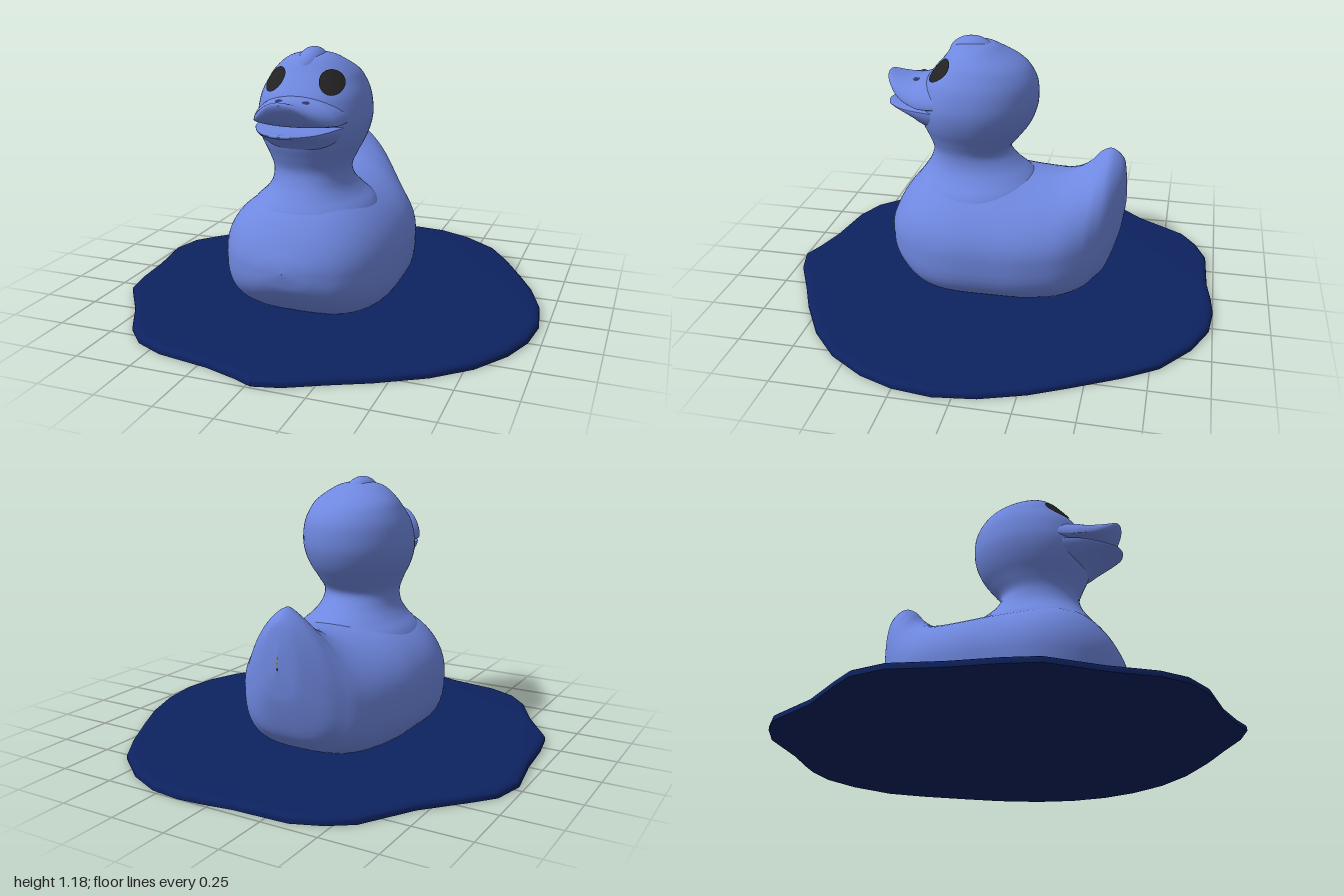
import * as THREE from 'three';
import { toCreasedNormals } from 'three/addons/utils/BufferGeometryUtils.js';

// Catmull-Rom interpolation of every column of a table of sections
function sampleRow(rows, u) {
  const i = Math.min(Math.floor(u), rows.length - 2), f = u - i;
  const at = k => rows[Math.max(0, Math.min(rows.length - 1, k))];
  const [a, b, c, d] = [at(i - 1), at(i), at(i + 1), at(i + 2)];
  return b.map((_, k) => 0.5 * (2 * b[k] + (c[k] - a[k]) * f
    + (2 * a[k] - 5 * b[k] + 4 * c[k] - d[k]) * f * f
    + (3 * b[k] - a[k] - 3 * c[k] + d[k]) * f * f * f));
}

// Skin through rounded sections: [position, half width, high, low, middle, pinch]
function loft(rows, axis, { lowPower = 1, highPower = 1, sides = 56, steps = 5 } = {}) {
  const pos = [], idx = [], count = (rows.length - 1) * steps;
  const pow = (v, p) => Math.sign(v) * Math.abs(v) ** p;
  for (let i = 0; i <= count; i++) {
    const [t, w, hi, lo, mid, pinch = 1] = sampleRow(rows, i / steps);
    for (let j = 0; j < sides; j++) {
      const a = j / sides * Math.PI * 2, c = Math.cos(a), s = Math.sin(a);
      const x = w * pow(c, s > 0 ? pinch * highPower : lowPower);
      const v = mid + (s > 0 ? (hi - mid) * pow(s, highPower) : (mid - lo) * pow(s, lowPower));
      if (axis === 'z') pos.push(x, v, t); else pos.push(x, t, v);
    }
  }
  for (let i = 0; i < count; i++) for (let j = 0; j < sides; j++) {
    const k = (j + 1) % sides, a = i * sides + j, b = i * sides + k;
    idx.push(a, b, a + sides, b, b + sides, a + sides);
  }
  const g = new THREE.BufferGeometry();
  g.setAttribute('position', new THREE.Float32BufferAttribute(pos, 3));
  g.setIndex(idx);
  g.computeVertexNormals();
  return g;
}

export function createModel() {
  const model = new THREE.Group();
  const duck = new THREE.Group();
  duck.name = 'duck';
  duck.position.x = -0.05;
  model.add(duck);

  const material = (name, color) => {
    const m = new THREE.MeshStandardMaterial({ color });
    m.name = name;
    return m;
  };
  const blue = material('duckBlue', 0x6f88e0);
  const navy = material('waterNavy', 0x0d2260);
  const black = material('eyeBlack', 0x222222);
  const add = (parent, name, geometry, mat) => {
    const m = new THREE.Mesh(geometry, mat);
    m.name = name;
    parent.add(m);
    return m;
  };

  // Water: irregular puddle with a rounded upper rim, as x, z pairs
  const shore = [
    .14, -1, .28, -.985, .435, -.915, .595, -.79, .69, -.645, .8, -.44, .875, -.29, .94, -.1,
    .965, .08, .945, .25, .89, .4, .785, .56, .64, .69, .447, .805, .29, .88, .135, .96,
    .02, .99, -.065, .955, -.21, .91, -.445, .87, -.575, .81, -.665, .715, -.765, .53,
    -.9, .335, -.925, .195, -.94, 0, -.975, -.215, -.94, -.36, -.86, -.455, -.71, -.62,
    -.575, -.84, -.475, -.91, -.35, -.96, -.1, -.97, .03, -.99];
  const points = [];
  for (let i = 0; i < shore.length; i += 2) points.push(new THREE.Vector2(shore[i], -shore[i + 1]));
  let puddle = new THREE.ExtrudeGeometry(new THREE.Shape(points.reverse()), {
    depth: 0.015, bevelThickness: 0.018, bevelSize: 0.035, bevelOffset: -0.035, bevelSegments: 4 });
  puddle.rotateX(-Math.PI / 2);
  const p = puddle.attributes.position;
  for (let i = 0; i < p.count; i++) p.setY(i, Math.max(0, p.getY(i)));
  add(model, 'waterPuddle', toCreasedNormals(puddle, 0.6), navy);

  // Body with upturned tail, from back to front
  add(duck, 'bodyAndTail', loft([
    [-.575, .002, .5, .44, .47, 1],
    [-.565, .06, .6, .36, .46, 1],
    [-.55, .105, .655, .28, .43, 1.2],
    [-.5, .19, .695, .14, .36, 1.5],
    [-.45, .245, .675, .085, .32, 1.7],
    [-.4, .29, .62, .045, .3, 1.6],
    [-.3, .35, .56, .015, .28, 1.2],
    [-.15, .39, .545, .006, .27, 1],
    [0, .4, .56, .006, .27, 1],
    [.15, .4, .57, .006, .27, 1],
    [.25, .38, .57, .01, .27, 1],
    [.33, .345, .55, .03, .27, 1],
    [.4, .295, .5, .075, .27, 1],
    [.46, .225, .425, .13, .27, 1],
    [.5, .135, .35, .185, .27, 1],
    [.515, .07, .31, .23, .27, 1],
    [.522, .002, .272, .268, .27, 1],
  ], 'z', { lowPower: 0.65 }), blue);

  // Head and neck, from the crown down: [y, half width, front, back]
  const head = add(duck, 'headAndNeck', loft([
    [1.16, .002, .132, .128],
    [1.145, .085, .205, .045],
    [1.12, .135, .235, -.005],
    [1.08, .182, .265, -.08],
    [1.04, .208, .3, -.125],
    [.98, .235, .345, -.155],
    [.9, .248, .37, -.16],
    [.84, .242, .375, -.148],
    [.78, .222, .365, -.12],
    [.72, .192, .34, -.075],
    [.66, .17, .32, -.035],
    [.6, .178, .335, -.075],
    [.55, .212, .365, -.135],
    [.5, .265, .4, -.18],
    [.42, .31, .44, -.2],
  ].map(([y, w, f, b]) => [y, w, f, b, (f + b) / 2]), 'y', { highPower: 0.9 }), blue);

  // Small tuft on the forehead
  const tuft = add(duck, 'foreheadTuft', new THREE.SphereGeometry(1, 32, 20), blue);
  tuft.scale.set(.068, .08, .105);
  tuft.position.set(0, 1.098, .14);

  // Open bill: upturned upper half and flat lower half
  const upperBill = add(duck, 'upperBill', loft([
    [.2, .215, 1.0, .85, .9],
    [.33, .195, .995, .868, .885],
    [.38, .178, .985, .873, .89],
    [.43, .152, .984, .883, .905],
    [.47, .122, .989, .905, .928],
    [.5, .088, .996, .938, .956],
    [.52, .05, 1.0, .968, .98],
    [.528, .002, .992, .988, .99],
  ], 'z'), blue);
  add(duck, 'lowerBill', loft([
    [.2, .21, .875, .72, .86],
    [.33, .185, .875, .755, .865],
    [.39, .165, .872, .795, .863],
    [.45, .13, .866, .828, .86],
    [.5, .085, .865, .845, .86],
    [.52, .05, .866, .851, .86],
    [.53, .002, .862, .858, .86],
  ], 'z'), blue);

  // Eyes: thin tilted ovals laid on the head
  const ray = new THREE.Raycaster();
  const forward = new THREE.Vector3(0, 0, -1), down = new THREE.Vector3(0, -1, 0);
  const local = new THREE.Mesh(head.geometry, blue), billLocal = new THREE.Mesh(upperBill.geometry, blue);
  for (const side of [-1, 1]) {
    const eye = new THREE.RingGeometry(0.001, 1, 28, 4);
    eye.scale(.04, .056, 1);
    eye.rotateZ(side * 0.75);
    eye.translate(side * .125, 1.045, 0);
    const e = eye.attributes.position;
    for (let i = 0; i < e.count; i++) {
      ray.set(new THREE.Vector3(e.getX(i), e.getY(i), 2), forward);
      const hit = ray.intersectObject(local)[0];
      if (hit) {
        hit.point.addScaledVector(hit.face.normal, 0.006);
        e.setXYZ(i, hit.point.x, hit.point.y, hit.point.z);
      }
    }
    eye.computeVertexNormals();
    add(duck, side > 0 ? 'leftEye' : 'rightEye', eye, black);

    // Nostril ring on the bill
    ray.set(new THREE.Vector3(side * .06, 2, .385), down);
    const spot = ray.intersectObject(billLocal)[0];
    const nostril = add(duck, side > 0 ? 'leftNostril' : 'rightNostril',
      new THREE.TorusGeometry(.011, .004, 8, 16), blue);
    nostril.rotation.x = Math.PI / 2;
    if (spot) nostril.position.copy(spot.point);
  }
  return model;
}
